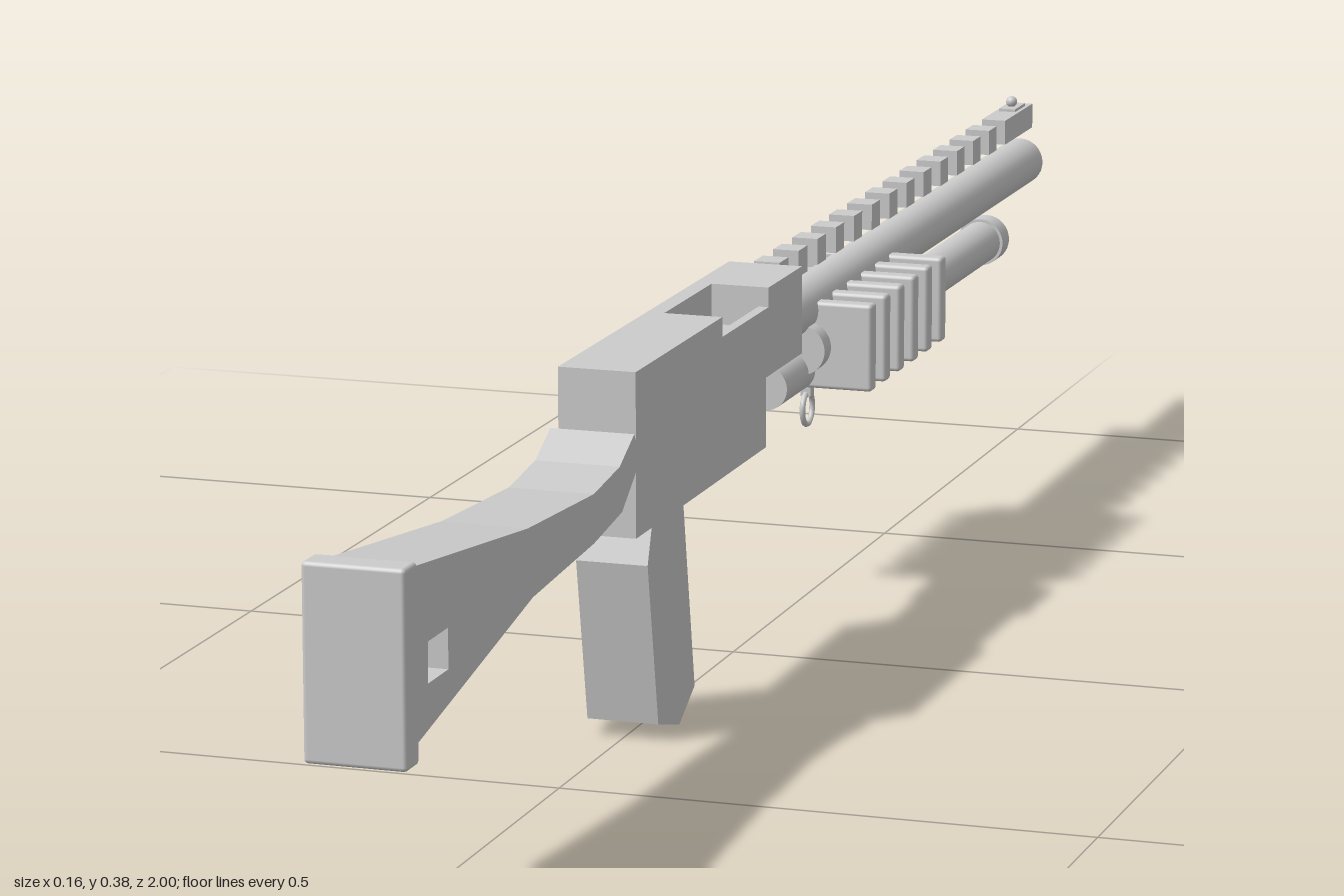
import * as THREE from 'three';
import { RoundedBoxGeometry } from 'three/addons/geometries/RoundedBoxGeometry.js';

const material = new THREE.MeshStandardMaterial({ color: 0xcccccc });

export function createModel() {
  const model = new THREE.Group();

  const add = (name, geometry, x = 0, y = 0, z = 0) => {
    const mesh = new THREE.Mesh(geometry, material);
    mesh.name = name;
    mesh.position.set(x, y, z);
    model.add(mesh);
    return mesh;
  };

  // Box given by its limits on each axis
  const box = (name, [x0, x1], [y0, y1], [z0, z1]) =>
    add(name, new THREE.BoxGeometry(x1 - x0, y1 - y0, z1 - z0),
      (x0 + x1) / 2, (y0 + y1) / 2, (z0 + z1) / 2);

  // Side profile of [z, y] points, extruded across x
  const slab = (name, points, width, hole) => {
    const shape = new THREE.Shape(points.map(p => new THREE.Vector2(...p)));
    if (hole) shape.holes.push(new THREE.Path(hole.map(p => new THREE.Vector2(...p))));
    const geometry = new THREE.ExtrudeGeometry(shape, { depth: width, bevelEnabled: false });
    geometry.rotateY(-Math.PI / 2).translate(width / 2, 0, 0);
    return add(name, geometry);
  };

  // Cylinder along z
  const rod = (name, radius, y, z0, z1) =>
    add(name, new THREE.CylinderGeometry(radius, radius, z1 - z0, 32).rotateX(Math.PI / 2),
      0, y, (z0 + z1) / 2);

  // Shoulder stock with a square sling hole, and its butt pad
  slab('stock', [
    [0.975, 0.323], [0.687, 0.289], [0.516, 0.28], [0.446, 0.289], [0.406, 0.31], [0.393, 0.29],
    [0.393, 0.28], [0.44, 0.246], [0.516, 0.235], [0.676, 0.225], [0.975, 0.166],
  ], 0.08, [[0.885, 0.214], [0.933, 0.214], [0.933, 0.25], [0.885, 0.25]]);
  add('buttPad', new RoundedBoxGeometry(0.092, 0.173, 0.03, 2, 0.004), 0, 0.2415, 0.985);

  // Receiver with the ejection port cut into its top
  slab('receiver', [
    [0.393, 0.21], [0.393, 0.364], [0.145, 0.364], [0.145, 0.325], [0.005, 0.325],
    [0.005, 0.364], [-0.1, 0.364], [-0.1, 0.278], [0.013, 0.278], [0.013, 0.21],
  ], 0.074);
  box('portWall', [-0.037, -0.02], [0.325, 0.364], [0.005, 0.145]);
  box('portLip', [0.027, 0.037], [0.325, 0.345], [0.005, 0.145]);

  // Small pins on the right side of the receiver
  for (const z of [-0.045, 0.16, 0.365]) {
    add('receiverPin', new THREE.CylinderGeometry(0.005, 0.005, 0.012, 12).rotateZ(Math.PI / 2),
      -0.039, 0.33, z);
  }

  // Pistol grip and trigger
  slab('grip', [
    [0.34, 0.215], [0.354, 0.175], [0.325, 0.018], [0.265, 0.002], [0.22, 0.028], [0.253, 0.215],
  ], 0.069);
  slab('trigger', [
    [0.214, 0.212], [0.208, 0.19], [0.21, 0.172], [0.196, 0.17], [0.192, 0.19], [0.194, 0.212],
  ], 0.018);

  // Barrel and magazine tube
  rod('barrel', 0.025, 0.301, -1, -0.085);
  rod('magazineTube', 0.022, 0.241, -0.865, -0.1);
  rod('magazineCap', 0.025, 0.241, -0.87, -0.845);

  // Pump handle: stadium-shaped core with flat ribs
  const core = new THREE.Shape();
  core.absarc(0.013, 0, 0.025, -Math.PI / 2, Math.PI / 2);
  core.absarc(-0.013, 0, 0.025, Math.PI / 2, Math.PI * 1.5);
  add('pumpCore', new THREE.ExtrudeGeometry(core, { depth: 0.312, bevelEnabled: false, curveSegments: 16 }),
    0, 0.265, -0.482);
  for (let i = 0; i < 6; i++) {
    add('pumpRib', new RoundedBoxGeometry(0.159, 0.087, 0.018, 2, 0.004), 0, 0.266, -0.2 - i * 0.048);
  }

  // Sling ring under the magazine tube
  add('slingRing', new THREE.TorusGeometry(0.016, 0.003, 8, 24).rotateY(Math.PI / 2), 0, 0.192, -0.235);
  box('slingLug', [-0.005, 0.005], [0.205, 0.224], [-0.241, -0.229]);

  // Row of blocks over the barrel
  for (let i = 0; i < 13; i++) {
    const z = -0.118 - i * 0.0606;
    box('railBlock', [-0.013, 0.013], [0.339, 0.365], [z - 0.014, z + 0.014]);
  }

  // Muzzle sight
  box('sightBase', [-0.013, 0.013], [0.339, 0.365], [-1, -0.893]);
  box('sightFoot', [-0.009, 0.009], [0.363, 0.368], [-0.985, -0.945]);
  add('sightBead', new THREE.SphereGeometry(0.006, 16, 12), 0, 0.373, -0.963);

  return model;
}
